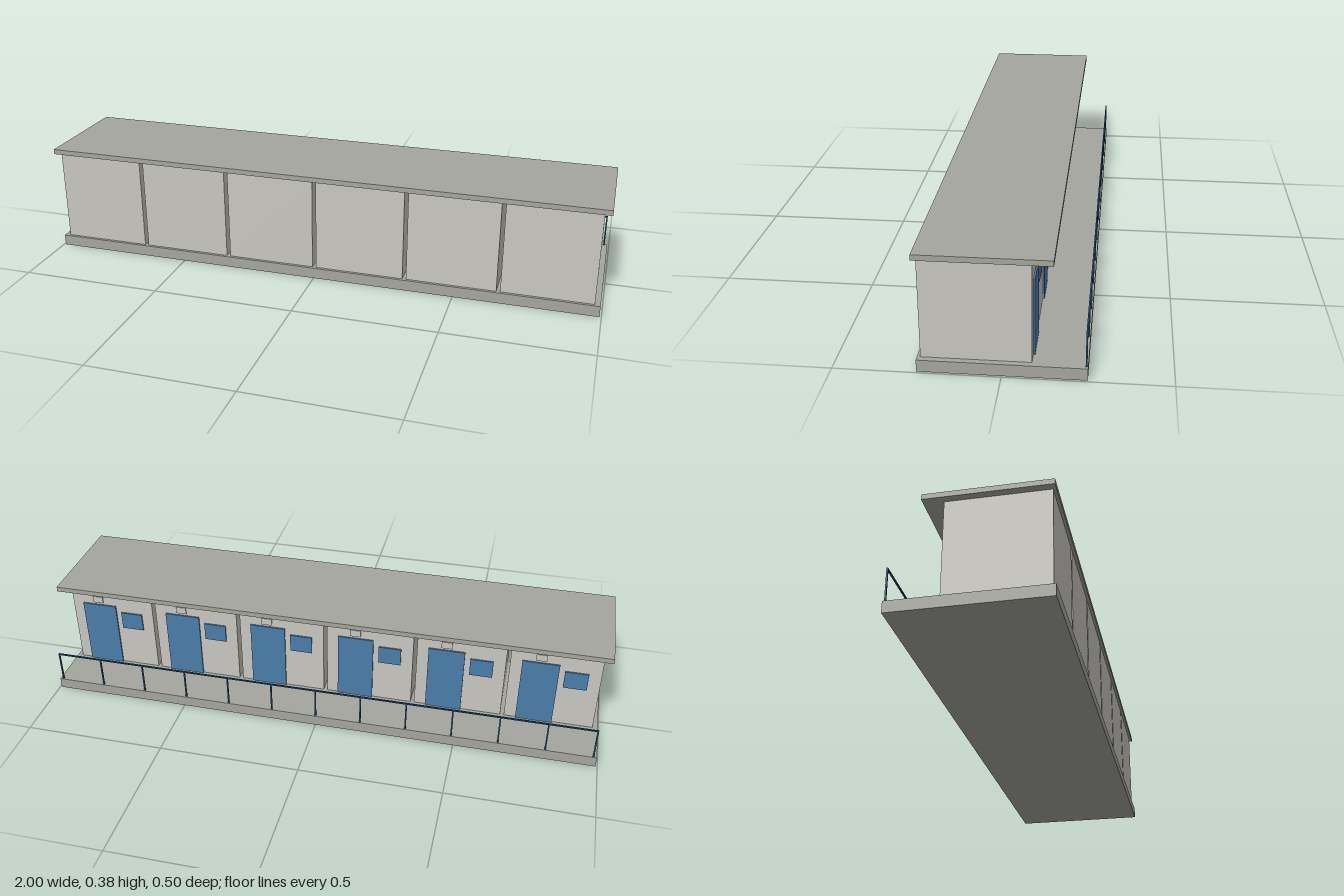
import * as THREE from 'three';

const material = (name, color) => {
  const m = new THREE.MeshStandardMaterial({ color });
  m.name = name;
  return m;
};

// Box given by its limits on each axis
function box(name, mat, [x0, x1], [y0, y1], [z0, z1]) {
  const mesh = new THREE.Mesh(new THREE.BoxGeometry(x1 - x0, y1 - y0, z1 - z0), mat);
  mesh.position.set((x0 + x1) / 2, (y0 + y1) / 2, (z0 + z1) / 2);
  mesh.name = name;
  return mesh;
}

export function createModel() {
  const wall = material('wall grey', 0xc9c7c0);
  const concrete = material('concrete grey', 0xa6a69f);
  const blue = material('door blue', 0x4a7eab);
  const navy = material('railing navy', 0x1f4a6e);

  const model = new THREE.Group();
  model.name = 'cabinRow';

  // Floor slab and overhanging roof
  const floorY = 0.039, roofY = 0.367;
  model.add(box('floorSlab', concrete, [-0.994, 0.994], [0, floorY], [-0.25, 0.25]));
  model.add(box('roof', concrete, [-1, 1], [roofY, 0.385], [-0.15, 0.25]));

  // Six separate cabins, each with a door, window and lamp at the back
  const count = 6, pitch = 0.3273, width = 0.314, back = -0.087;
  for (let i = 0; i < count; i++) {
    const cabin = new THREE.Group();
    cabin.name = `cabin${i + 1}`;
    cabin.position.x = (i - (count - 1) / 2) * pitch;
    const h = width / 2;
    cabin.add(
      box('walls', wall, [-h, h], [floorY, roofY], [back, 0.24]),
      box('door', blue, [h - 0.17, h - 0.041], [floorY, 0.29], [-0.0925, back]),
      box('window', blue, [h - 0.271, h - 0.19], [0.2, 0.267], [-0.0925, back]),
      box('lamp', wall, [h - 0.124, h - 0.086], [0.302, 0.328], [-0.0965, -0.0925])
    );
    model.add(cabin);
  }

  // Walkway railing: thirteen posts and a top rail
  const railing = new THREE.Group();
  railing.name = 'railing';
  const end = 0.982, t = 0.0025, railZ = [-0.2475, -0.2425];
  for (let i = 0; i <= 12; i++) {
    const x = -end + (i * end) / 6;
    railing.add(box('railingPost', navy, [x - t, x + t], [floorY, 0.149], railZ));
  }
  railing.add(box('topRail', navy, [-end - t, end + t], [0.149, 0.154], railZ));
  model.add(railing);

  return model;
}
